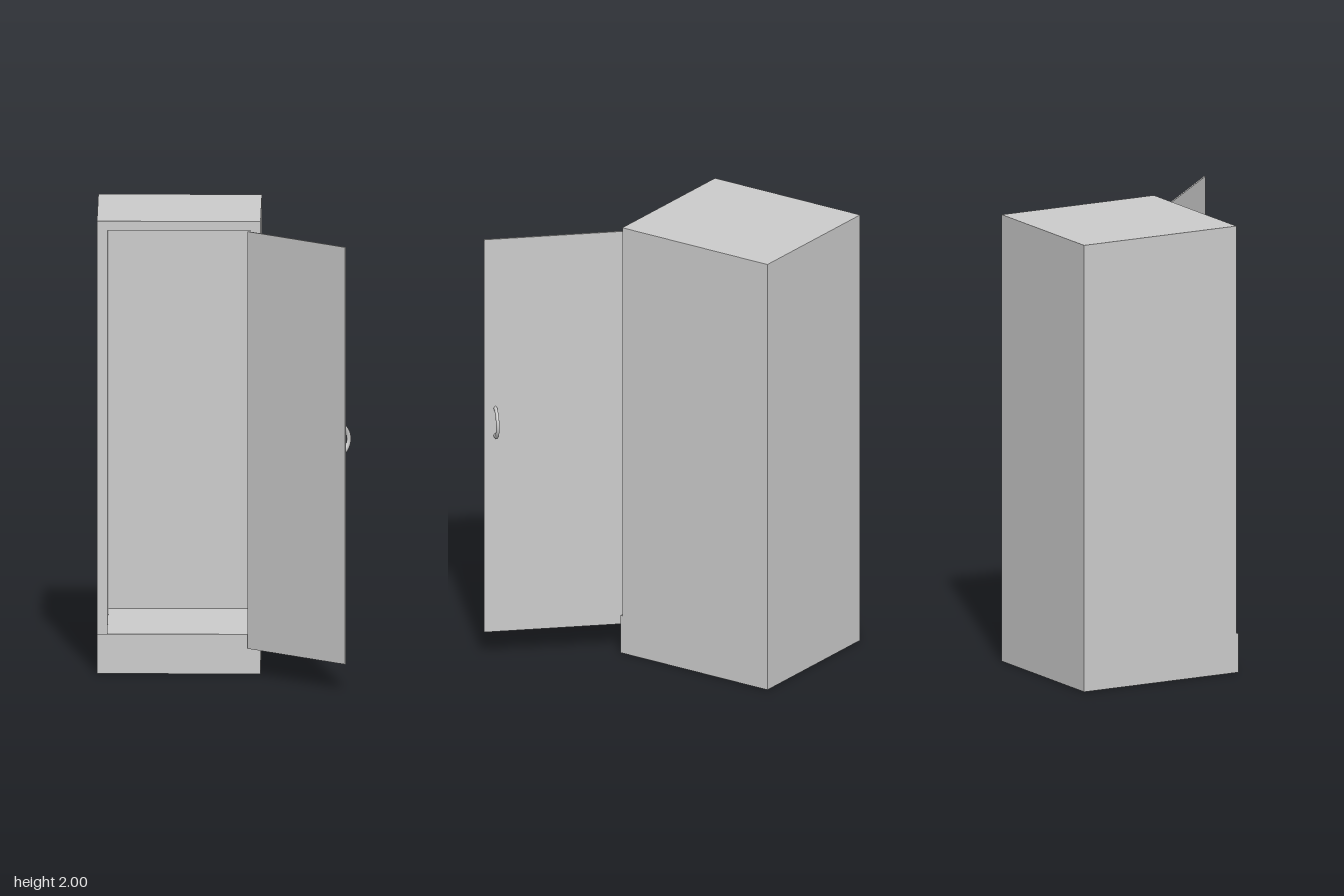
import * as THREE from 'three';

const material = new THREE.MeshStandardMaterial({ color: 0xcccccc });

export function createModel() {
  const model = new THREE.Group();
  model.name = 'cabinet';

  // Box given by its minimum and maximum corners
  const panel = (name, x0, x1, y0, y1, z0, z1) => {
    const mesh = new THREE.Mesh(new THREE.BoxGeometry(x1 - x0, y1 - y0, z1 - z0), material);
    mesh.position.set((x0 + x1) / 2, (y0 + y1) / 2, (z0 + z1) / 2);
    mesh.name = name;
    model.add(mesh);
  };

  const left = 0.16, right = -0.555, back = -0.625, front = 0.145;
  const wall = 0.045, plinthTop = 0.105, floorTop = 0.175, lid = 1.96;
  const inBack = back + wall;

  // Carcass: plinth, floor, sides, back, top
  panel('plinth', right, left, 0, plinthTop, back, front);
  panel('kickPlate', right, left, 0, floorTop, front, front + 0.01);
  panel('floor', right + wall, left - wall, plinthTop, floorTop, inBack, front);
  panel('rightSide', right, right + wall, plinthTop, lid, inBack, front);
  panel('leftSide', left - wall, left, plinthTop, lid, inBack, front);
  panel('backPanel', right, left, plinthTop, 2, back, inBack);
  panel('topPanel', right, left, lid, 2, inBack, front);

  // Open door, turned about its hinge edge; local +x runs along the door
  const hinge = new THREE.Vector2(0.105, 0.175);
  const tip = new THREE.Vector2(0.535, 0.621);
  const width = hinge.distanceTo(tip);
  const thickness = 0.007;
  const doorGroup = new THREE.Group();
  doorGroup.name = 'doorAssembly';
  doorGroup.position.set(hinge.x, 0, hinge.y);
  doorGroup.rotation.y = -Math.atan2(tip.y - hinge.y, tip.x - hinge.x);
  model.add(doorGroup);

  const door = new THREE.Mesh(new THREE.BoxGeometry(width, 1.845, thickness), material);
  door.name = 'door';
  door.position.set(width / 2, 1.0375, 0);
  doorGroup.add(door);

  // Half-ring handle on the outer face of the door
  const ring = new THREE.TorusGeometry(0.064, 0.011, 12, 32, Math.PI);
  ring.scale(1, 1, 0.7);
  ring.rotateZ(-Math.PI / 2);
  ring.rotateY(Math.PI / 2);
  const handle = new THREE.Mesh(ring, material);
  handle.name = 'handle';
  handle.position.set(width - 0.05, 1.1, -thickness / 2);
  doorGroup.add(handle);

  return model;
}
